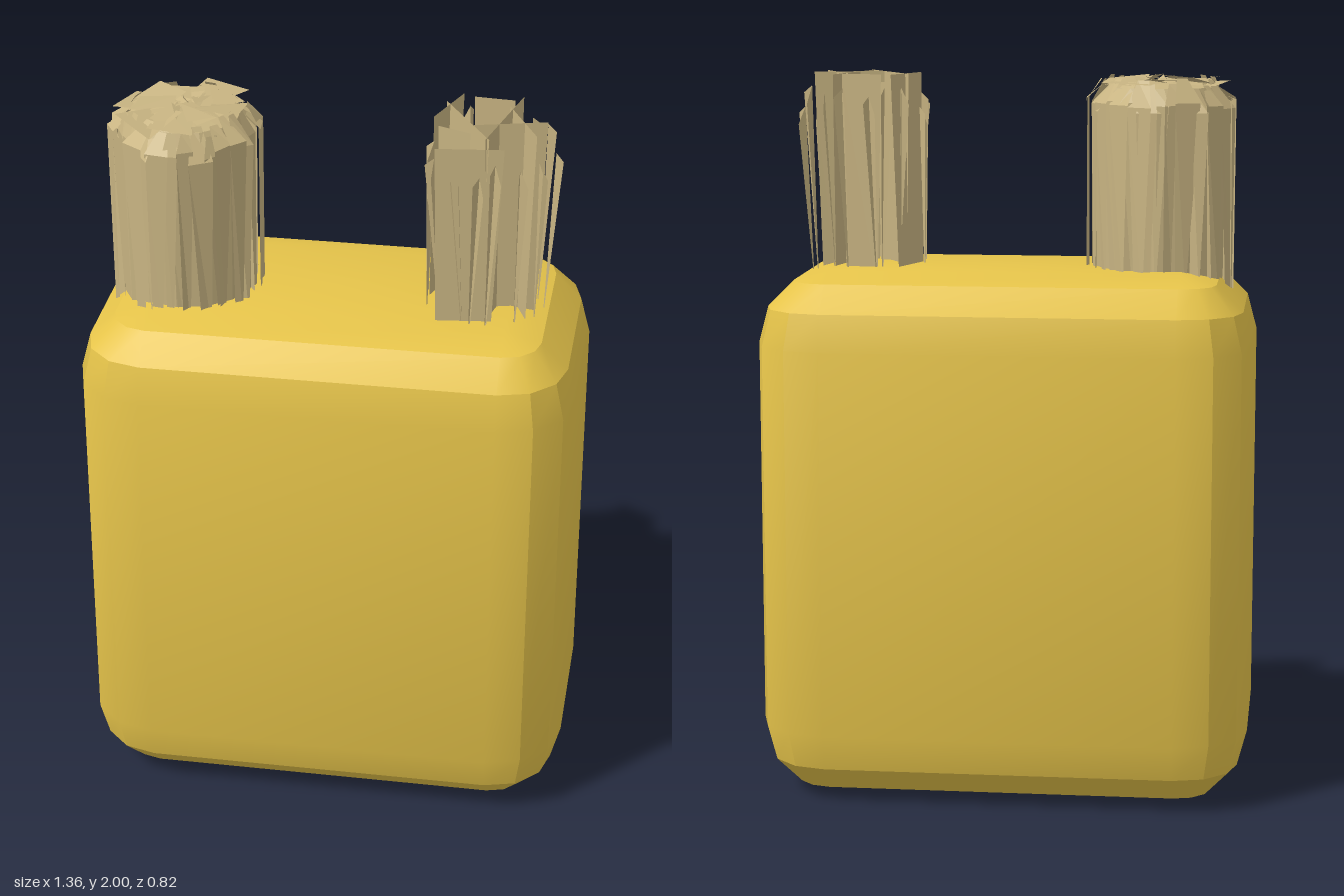
import * as THREE from 'three';
import { toCreasedNormals } from 'three/addons/utils/BufferGeometryUtils.js';

const BASE = 1.4, TOP = 2;

// Small seeded generator for the bristle irregularity, range -1..1
function seeded(seed) {
  return () => {
    seed = (seed * 16807) % 2147483647;
    return (seed / 2147483647) * 2 - 1;
  };
}

// Box whose edges and corners are rounded in three facets
function roundedBlock(w, h, d, r) {
  const cols = 16, rows = 9;
  const geo = new THREE.PlaneGeometry(1, 1, cols, rows);
  const pos = geo.attributes.position;
  for (let j = 0; j <= rows; j++) {
    for (let i = 0; i <= cols; i++) {
      const k = j * (cols + 1) + i;
      if (j === 0 || j === rows) {              // centres of the top and bottom faces
        pos.setXYZ(k, 0, j === 0 ? h / 2 : -h / 2, 0);
        continue;
      }
      const col = i % cols, quadrant = Math.floor(col / 4);
      const phi = (quadrant + (col % 4) / 3) * Math.PI / 2;
      const lower = j > 4;
      const theta = (lower ? j - 2 : j - 1) * Math.PI / 6;
      const sx = quadrant === 0 || quadrant === 3 ? 1 : -1;
      const sz = quadrant < 2 ? 1 : -1;
      // the plane runs left to right, so the ring turns from +x to -z
      pos.setXYZ(k,
        sx * (w / 2 - r) + r * Math.sin(theta) * Math.cos(phi),
        (lower ? -1 : 1) * (h / 2 - r) + r * Math.cos(theta),
        -sz * (d / 2 - r) - r * Math.sin(theta) * Math.sin(phi));
    }
  }
  return toCreasedNormals(geo, 0.5);
}

// Collects loose flat strips and shards into one geometry
function stripGeometry(quads) {
  const p = [];
  for (const [a, b, c, d] of quads) p.push(...a, ...b, ...c, ...a, ...c, ...d);
  const geo = new THREE.BufferGeometry();
  geo.setAttribute('position', new THREE.Float32BufferAttribute(p, 3));
  geo.computeVertexNormals();
  return geo;
}

const polar = (r, a, y) => [r * Math.cos(a), y, r * Math.sin(a)];

// Dense bundle: a core wrapped in overlapping strips under a ragged crown
function denseBundle(material) {
  const bundle = new THREE.Group();
  bundle.name = 'denseBristles';
  const rnd = seeded(41);

  const core = new THREE.Mesh(new THREE.LatheGeometry([
    new THREE.Vector2(0, BASE), new THREE.Vector2(0.18, BASE),
    new THREE.Vector2(0.185, 1.9), new THREE.Vector2(0.15, 1.965),
    new THREE.Vector2(0, 1.98)
  ], 14), material);
  core.name = 'bristleCore';

  const sides = [], crown = [];
  const n = 38;
  for (let i = 0; i < n; i++) {
    const a = i / n * Math.PI * 2 + rnd() * 0.06;
    const half = 0.15 + rnd() * 0.05, skew = rnd() * 0.12;
    const r1 = 0.195 + rnd() * 0.018, r2 = 0.195 + rnd() * 0.018;
    const y = 1.915 + rnd() * 0.02;
    // upright strip, narrower at the foot
    sides.push([
      polar(r1 - 0.004, a - half * 0.4 + skew, BASE + 0.01 * rnd()),
      polar(r2 - 0.004, a + half * 0.4 + skew, BASE + 0.01 * rnd()),
      polar(r2, a + half, y), polar(r1, a - half, y)
    ]);
    // bent tip leaning in over the rim
    const rt = 0.15 + rnd() * 0.02, yt = 1.975 + rnd() * 0.02;
    crown.push([
      polar(r1, a - half, y), polar(r2, a + half, y),
      polar(rt, a + half * 0.5, yt), polar(rt, a - half * 0.6, yt)
    ]);
  }
  // loose shards lying across the top
  for (let i = 0; i < 22; i++) {
    const a = i * 2.4, r = 0.09 + rnd() * 0.07;
    const tip = () => 1.985 + rnd() * 0.014;
    crown.push([
      polar(r + 0.06, a - 0.35, tip() - 0.01), polar(r + 0.05, a + 0.4, tip()),
      polar(r * 0.5, a + 0.9, tip()), polar(r * 0.4, a - 0.7, tip())
    ]);
  }
  const sideMesh = new THREE.Mesh(stripGeometry(sides), material);
  sideMesh.name = 'bristleStrips';
  const crownMesh = new THREE.Mesh(stripGeometry(crown), material);
  crownMesh.name = 'bristleCrown';
  bundle.add(core, sideMesh, crownMesh);
  bundle.position.set(-0.41, 0, 0.03);
  return bundle;
}

// Sparse bundle: crossing upright sheets with thin splayed slivers around them
function sparseBundle(material) {
  const bundle = new THREE.Group();
  bundle.name = 'sparseBristles';
  const rnd = seeded(97);

  // plan of each sheet: x1, z1, x2, z2
  const plan = [
    [-0.09, -0.16, -0.15, 0.01], [-0.13, -0.10, 0.01, 0.14],
    [-0.14, 0.00, -0.02, 0.05], [-0.04, 0.05, 0.15, 0.00],
    [0.00, 0.14, 0.07, -0.16], [-0.13, 0.15, 0.05, 0.13],
    [-0.06, -0.14, 0.05, -0.13], [0.04, -0.09, 0.13, 0.10]
  ];
  const sheets = plan.map(([x1, z1, x2, z2], i) => {
    const e = 0.012 * rnd(), f = 0.012 * rnd(), s = 0.8;
    const mx = (x1 + x2) / 2, mz = (z1 + z2) / 2;
    const foot = (x, z) => [mx + (x - mx) * s + e, BASE, mz + (z - mz) * s + f];
    const y = i % 3 === 2 ? TOP - 0.03 : TOP;
    return [foot(x1, z1), foot(x2, z2), [x2, y, z2], [x1, y, z1]];
  });

  const slivers = [];
  const n = 15;
  for (let i = 0; i < n; i++) {
    const a = i / n * Math.PI * 2 + rnd() * 0.15;
    const r = 0.185 + rnd() * 0.018, y = 1.91 + rnd() * 0.04;
    const foot = polar(0.155 + rnd() * 0.015, a + rnd() * 0.15, BASE);
    slivers.push([foot, polar(r, a + 0.08, y), polar(r - 0.02, a, y + 0.02),
      polar(r, a - 0.08, y - 0.03)]);
  }
  const sheetMesh = new THREE.Mesh(stripGeometry(sheets), material);
  sheetMesh.name = 'bristleSheets';
  const sliverMesh = new THREE.Mesh(stripGeometry(slivers), material);
  sliverMesh.name = 'bristleSlivers';
  bundle.add(sheetMesh, sliverMesh);
  bundle.position.set(0.41, 0, 0.03);
  return bundle;
}

export function createModel() {
  const model = new THREE.Group();
  const yellow = new THREE.MeshStandardMaterial({ color: 0xe6c44a });
  const straw = new THREE.MeshStandardMaterial({
    color: 0xc8b482, side: THREE.DoubleSide, flatShading: true
  });

  const body = new THREE.Mesh(roundedBlock(1.36, 1.47, 0.82, 0.2), yellow);
  body.name = 'body';
  body.position.y = 0.735;

  model.add(body, denseBundle(straw), sparseBundle(straw));
  return model;
}
